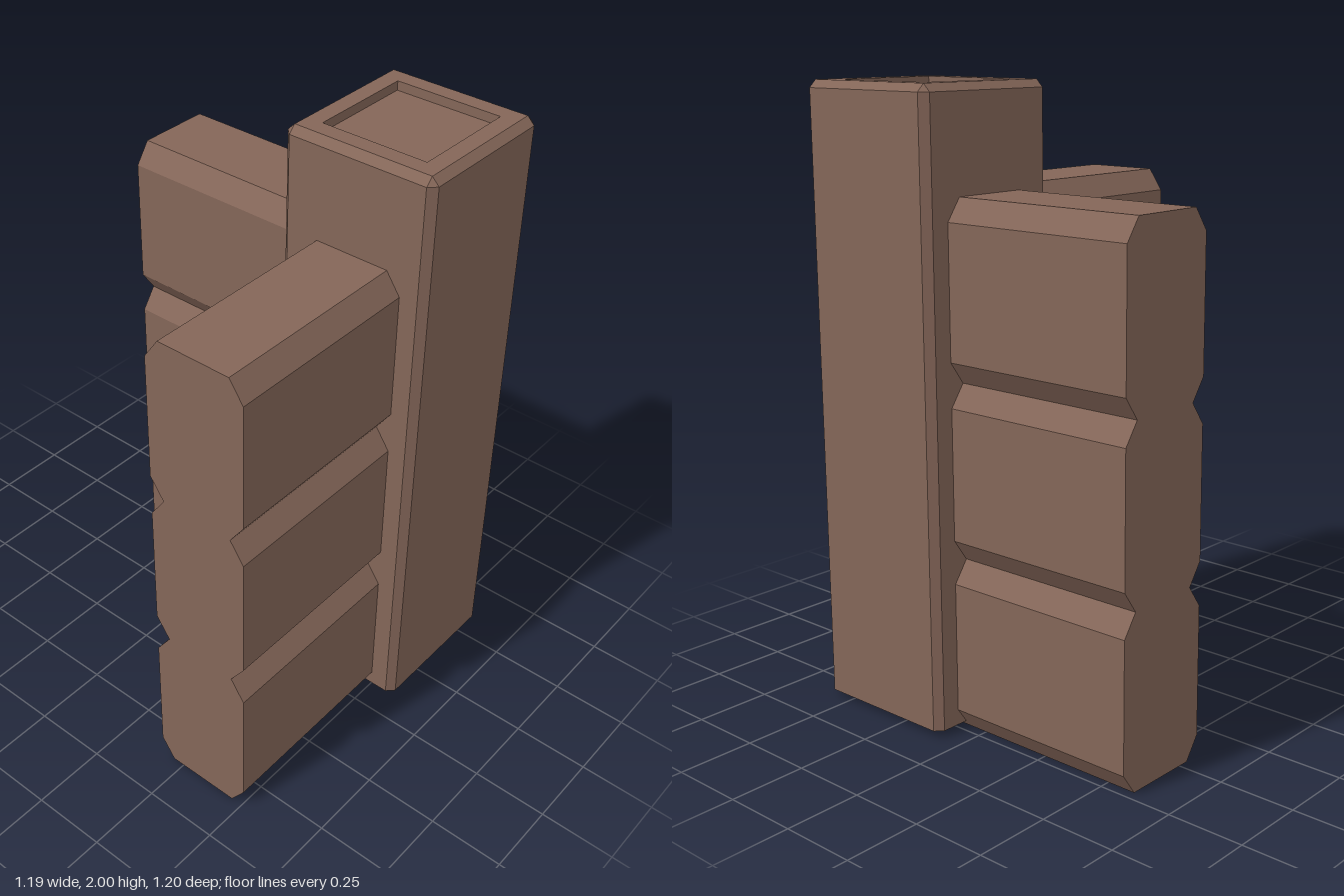
import * as THREE from 'three';

const CX = 0.334, CZ = -0.34; // post centre, where the two walls meet

// Square ring with cut corners, counter-clockwise from above
function ring(h, c, y) {
  const k = h - c;
  return [[-k, h], [k, h], [h, k], [h, -k], [k, -h], [-k, -h], [-h, -k], [-h, k]]
    .map(([x, z]) => [x, y, z]);
}

// Skin a stack of rings with flat quads
function loft(rings) {
  const pos = [];
  for (let r = 0; r < rings.length - 1; r++) {
    const a = rings[r], b = rings[r + 1];
    for (let i = 0; i < 8; i++) {
      const j = (i + 1) % 8;
      pos.push(...a[i], ...a[j], ...b[j], ...a[i], ...b[j], ...b[i]);
    }
  }
  const geo = new THREE.BufferGeometry();
  geo.setAttribute('position', new THREE.Float32BufferAttribute(pos, 3));
  geo.computeVertexNormals();
  return geo;
}

// Three stacked beams with bevelled edges, mitred at the start end
function wallGeometry(length, mitre) {
  const w = 0.175, n = 0.126, bevel = 0.07, beam = 0.5575;
  const side = [];
  for (let i = 0; i < 3; i++) {
    const y = i * beam;
    side.push([n, y], [w, y + bevel], [w, y + beam - bevel]);
  }
  side.push([n, 3 * beam]);
  const outline = [...side, ...side.map(([x, y]) => [-x, y]).reverse()];
  const shape = new THREE.Shape(outline.map(([x, y]) => new THREE.Vector2(x, y)));
  const geo = new THREE.ExtrudeGeometry(shape, { depth: length, bevelEnabled: false });
  const p = geo.attributes.position;
  for (let i = 0; i < p.count; i++) {
    if (p.getZ(i) < 1e-6) p.setZ(i, mitre * p.getX(i));
  }
  geo.computeVertexNormals();
  return geo;
}

export function createModel() {
  const wood = new THREE.MeshStandardMaterial({ color: 0x846658, flatShading: true });
  wood.name = 'brown wood';
  const group = new THREE.Group();
  group.name = 'cornerWall';

  const add = (name, geo) => {
    const mesh = new THREE.Mesh(geo, wood);
    mesh.name = name;
    mesh.position.set(CX, 0, CZ);
    group.add(mesh);
    return mesh;
  };

  // Corner post with chamfered edges and a shallow recess on top
  add('cornerPost', loft([
    ring(0, 0, 0.02),
    ring(0.26, 0.024, 0.02),
    ring(0.26, 0.024, 1.976),
    ring(0.236, 0, 2),
    ring(0.18, 0, 2),
    ring(0.18, 0, 1.97),
    ring(0, 0, 1.97),
  ]));

  // Wall running forward and wall running to the right
  add('frontWall', wallGeometry(0.597 - CZ, -1));
  add('sideWall', wallGeometry(0.597 + CX, 1)).rotation.y = -Math.PI / 2;

  return group;
}
